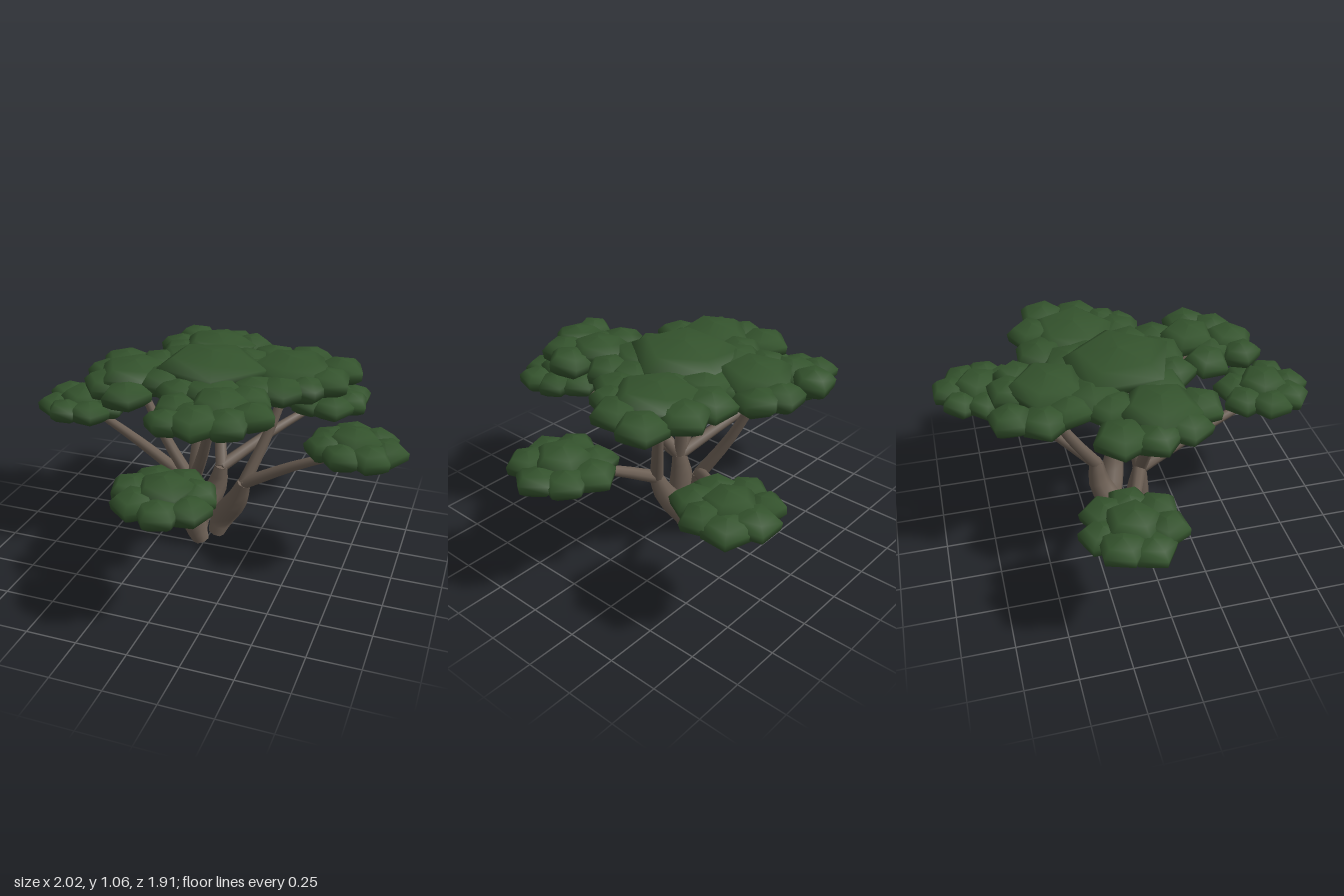
import * as THREE from 'three';

const bark = new THREE.MeshStandardMaterial({ color: 0x6e6156, side: THREE.DoubleSide });
bark.name = 'bark';
const foliage = new THREE.MeshStandardMaterial({ color: 0x34532d });
foliage.name = 'foliage';

// small seeded random for leaf clump variation
let seed = 7;
const rand = () => (seed = (seed * 16807) % 2147483647) / 2147483647;

// five-sided steep-edged lump shared by all leaf clumps
const lump = new THREE.LatheGeometry(
  [[0, -1], [0.62, -0.84], [0.95, -0.42], [1, 0.2], [0.7, 0.76], [0, 1]].map(p => new THREE.Vector2(...p)), 5);

// tube along a curve whose radius follows a list of values
function limb(name, points, radii, steps) {
  const curve = new THREE.CatmullRomCurve3(points.map(p => new THREE.Vector3(...p)));
  const sides = 8;
  const geo = new THREE.TubeGeometry(curve, steps, 1, sides);
  const pos = geo.attributes.position, v = new THREE.Vector3();
  for (let i = 0; i <= steps; i++) {
    const t = i / steps, c = curve.getPointAt(t);
    const f = t * (radii.length - 1), k = Math.min(Math.floor(f), radii.length - 2);
    const r = THREE.MathUtils.lerp(radii[k], radii[k + 1], f - k);
    for (let j = 0; j <= sides; j++) {
      const n = i * (sides + 1) + j;
      v.fromBufferAttribute(pos, n).sub(c).multiplyScalar(r).add(c);
      pos.setXYZ(n, v.x, v.y, v.z);
    }
  }
  geo.computeBoundingSphere();
  const group = new THREE.Group();
  group.name = name;
  const tube = new THREE.Mesh(geo, bark);
  tube.name = name + 'Tube';
  group.add(tube);
  // close both ends
  for (const t of [0, 1]) {
    const cap = new THREE.Mesh(new THREE.CircleGeometry(radii[t ? radii.length - 1 : 0], sides), bark);
    cap.name = name + 'End';
    cap.position.copy(curve.getPointAt(t));
    cap.lookAt(cap.position.clone().addScaledVector(curve.getTangentAt(t), t ? 1 : -1));
    group.add(cap);
  }
  return group;
}

// branch bowed slightly between its ends
function branch(name, a, b, lift) {
  const mid = a.map((v, i) => (v + b[i]) / 2 + (i === 1 ? lift : 0));
  return limb(name, [a, mid, b], [0.034, 0.027, 0.02], 6);
}

function clump(x, y, z, r, h, spin = rand() * 6.28) {
  const m = new THREE.Mesh(lump, foliage);
  m.name = 'leafClump';
  m.position.set(x, y, z);
  const tilt = 0.025 / r;
  m.rotation.set((rand() - 0.5) * tilt, spin, (rand() - 0.5) * tilt);
  m.scale.set(r, h, r);
  return m;
}

// low pad: one middle clump with a ring of seven around it
function pad(name, x, y, z, phase) {
  const g = new THREE.Group();
  g.name = name;
  g.add(clump(x, y + 0.015, z, 0.14, 0.07));
  for (let i = 0; i < 7; i++) {
    const a = phase + (i / 7) * Math.PI * 2;
    const d = 0.145 + (rand() - 0.5) * 0.02;
    g.add(clump(x + Math.cos(a) * d, y - 0.012 + (rand() - 0.5) * 0.025, z + Math.sin(a) * d,
      0.105 + rand() * 0.012, 0.06, -a + (rand() - 0.5) * 0.8));
  }
  return g;
}

export function createModel() {
  const tree = new THREE.Group();
  tree.name = 'tree';

  // three leaning trunks
  const frontTop = [-0.05, 0.38, 0.02], rightTop = [0.205, 0.39, -0.05], backTop = [0.035, 0.39, -0.19];
  const girth = [0.045, 0.062, 0.066, 0.054, 0.036];
  tree.add(limb('frontTrunk', [[-0.02, 0.03, -0.02], [-0.045, 0.13, 0.0], [-0.055, 0.28, 0.01], frontTop], girth, 7));
  tree.add(limb('rightTrunk', [[0.035, 0.035, -0.11], [0.07, 0.13, -0.11], [0.165, 0.28, -0.07], rightTop], girth, 7));
  tree.add(limb('backTrunk', [[-0.06, 0.035, -0.1], [-0.055, 0.13, -0.11], [0.015, 0.28, -0.18], backTop], girth, 7));

  // branches to the low pads
  tree.add(branch('leftLowBranch', frontTop, [-0.72, 0.62, -0.19], 0.012));
  tree.add(branch('frontLowBranch', frontTop, [0.06, 0.64, 0.68], 0.012));
  tree.add(branch('rightLowBranch', rightTop, [0.74, 0.67, 0.0], 0.015));
  tree.add(branch('backLowBranch', backTop, [0.45, 0.63, -0.67], 0.015));

  // branches to the crown
  tree.add(branch('leftCrownBranch', frontTop, [-0.33, 0.9, 0.03], -0.03));
  tree.add(branch('middleCrownBranch', frontTop, [-0.02, 0.94, -0.07], 0));
  tree.add(branch('frontCrownBranch', frontTop, [0.17, 0.93, 0.33], -0.03));
  tree.add(branch('rightCrownBranch', rightTop, [0.38, 0.92, -0.23], -0.03));
  tree.add(branch('backCrownBranch', backTop, [-0.08, 0.9, -0.46], -0.03));

  // low pads of leaves
  tree.add(pad('leftPad', -0.75, 0.655, -0.19, 0.1));
  tree.add(pad('frontPad', 0.08, 0.69, 0.71, 0.5));
  tree.add(pad('rightPad', 0.765, 0.715, 0.0, 0.0));
  tree.add(pad('backPad', 0.48, 0.65, -0.715, 0.3));

  // crown sections, each clump as x, y, z, radius, half height, spin
  const crown = {
    middleCrown: [[0.02, 0.995, -0.07, 0.28, 0.085, 1.57], [0.1, 0.95, 0.14, 0.16, 0.07],
      [-0.17, 0.95, 0.08, 0.14, 0.07], [0.13, 0.95, -0.29, 0.15, 0.07], [-0.17, 0.95, -0.24, 0.15, 0.07]],
    backCrown: [[-0.07, 0.97, -0.43, 0.2, 0.075], [-0.25, 0.94, -0.63, 0.11, 0.065],
      [-0.03, 0.94, -0.6, 0.12, 0.065], [0.08, 0.94, -0.55, 0.12, 0.065],
      [-0.29, 0.93, -0.48, 0.12, 0.065], [-0.24, 0.94, -0.36, 0.12, 0.065], [0.04, 0.93, -0.4, 0.12, 0.065]],
    rightCrown: [[0.38, 0.97, -0.22, 0.23, 0.075], [0.25, 0.95, -0.42, 0.13, 0.065],
      [0.43, 0.96, -0.42, 0.13, 0.065], [0.61, 0.95, -0.34, 0.13, 0.065],
      [0.58, 0.95, -0.17, 0.13, 0.065], [0.39, 0.94, 0.0, 0.14, 0.065],
      [0.26, 0.94, 0.03, 0.13, 0.065], [0.5, 0.94, -0.06, 0.11, 0.065], [0.22, 0.95, -0.18, 0.14, 0.065]],
    frontCrown: [[0.2, 0.97, 0.33, 0.15, 0.07], [0.0, 0.94, 0.37, 0.115, 0.065],
      [0.36, 0.95, 0.36, 0.12, 0.065], [0.29, 0.94, 0.17, 0.12, 0.065],
      [0.15, 0.96, 0.53, 0.13, 0.065], [0.02, 0.95, 0.55, 0.1, 0.06],
      [0.28, 0.95, 0.48, 0.12, 0.065], [-0.05, 0.94, 0.18, 0.12, 0.065], [0.1, 0.94, 0.42, 0.11, 0.06]],
    leftCrown: [[-0.34, 0.95, 0.04, 0.2, 0.075], [-0.48, 0.92, -0.17, 0.14, 0.065],
      [-0.51, 0.915, -0.02, 0.115, 0.065], [-0.45, 0.915, 0.13, 0.13, 0.065],
      [-0.31, 0.91, 0.23, 0.13, 0.065], [-0.28, 0.94, -0.17, 0.13, 0.065]]
  };
  for (const [name, list] of Object.entries(crown)) {
    const g = new THREE.Group();
    g.name = name;
    list.forEach(c => g.add(clump(...c)));
    tree.add(g);
  }
  return tree;
}
